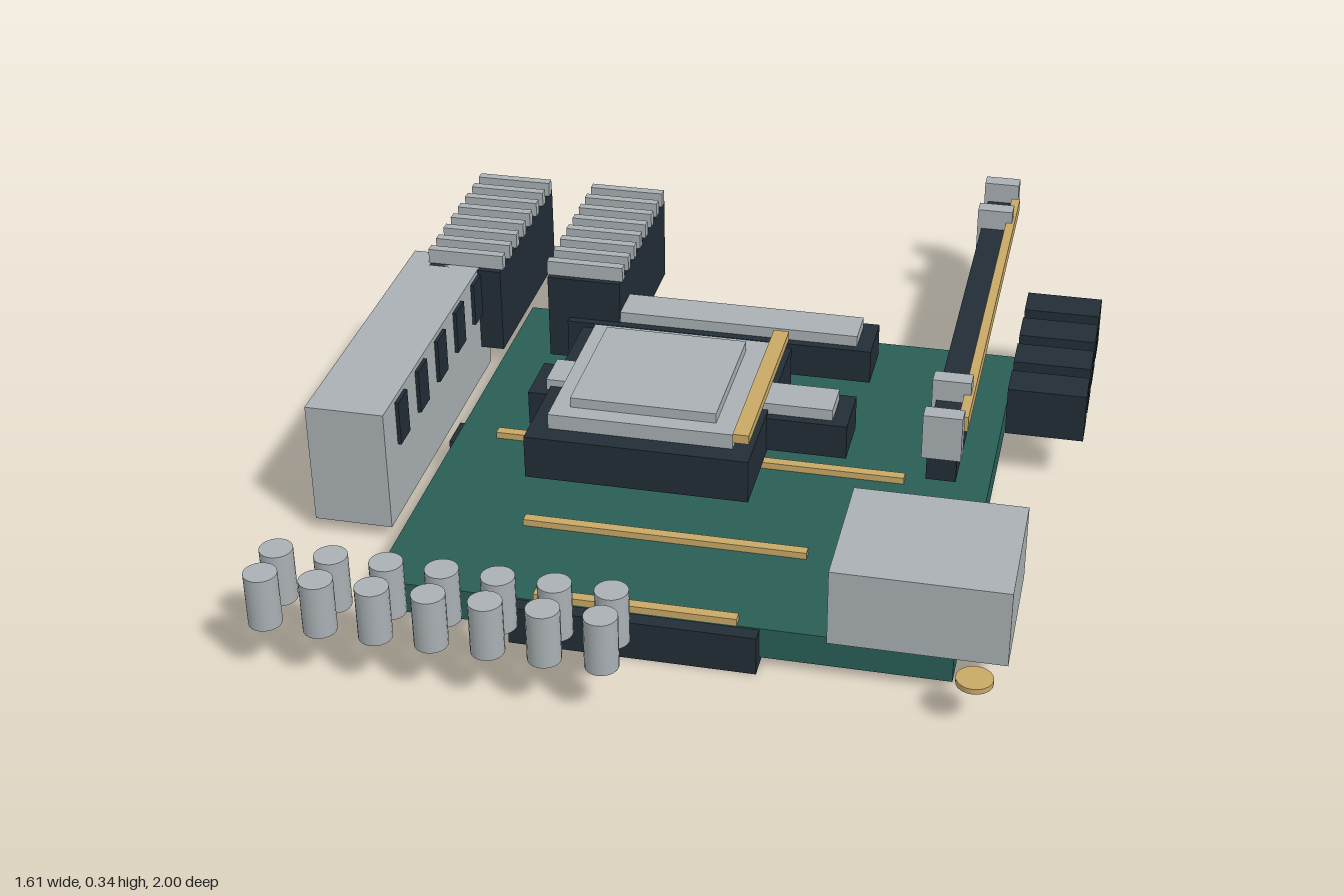
import * as THREE from 'three';

const paint = (name, color) => {
  const m = new THREE.MeshStandardMaterial({ color });
  m.name = name;
  return m;
};

export function createModel() {
  const green = paint('boardGreen', 0x2a5e56);
  const dark = paint('darkPlastic', 0x222d36);
  const silver = paint('silverMetal', 0xa9b0b3);
  const gold = paint('goldContact', 0xc8a866);

  const model = new THREE.Group();
  model.name = 'circuitBoard';

  // Box given by its lower and upper limits on each axis
  const box = (name, mat, x0, x1, y0, y1, z0, z1) => {
    const mesh = new THREE.Mesh(new THREE.BoxGeometry(x1 - x0, y1 - y0, z1 - z0), mat);
    mesh.position.set((x0 + x1) / 2, (y0 + y1) / 2, (z0 + z1) / 2);
    mesh.name = name;
    model.add(mesh);
  };
  // Upright cylinder
  const post = (name, mat, x, z, r, y0, y1) => {
    const mesh = new THREE.Mesh(new THREE.CylinderGeometry(r, r, y1 - y0, 20), mat);
    mesh.position.set(x, (y0 + y1) / 2, z);
    mesh.name = name;
    model.add(mesh);
  };

  box('board', green, -0.57, 0.62, 0.02, 0.09, -0.435, 0.75);

  // Expansion slots sunk through the board, each with a contact strip on top
  for (const [z, half] of [[0.16, 0.56], [0.485, 0.37], [0.74, 0.255]]) {
    const c = -0.022, g = half * 0.82;
    box('expansionSlot', dark, c - half, c + half, 0, 0.087, z - 0.041, z + 0.041);
    box('slotContacts', gold, c - g, c + g, 0.088, 0.105, z - 0.012, z + 0.01);
  }

  // Processor socket with stepped lid and lever
  box('processorSocket', dark, -0.36, 0.13, 0.12, 0.22, -0.14, 0.355);
  box('processorPlate', silver, -0.318, 0.087, 0.22, 0.255, -0.097, 0.31);
  box('processorLid', silver, -0.278, 0.043, 0.255, 0.278, -0.05, 0.27);
  box('socketLever', gold, 0.093, 0.128, 0.255, 0.276, -0.118, 0.34);

  // Storage modules with metal covers
  for (const z of [-0.243, 0.09]) {
    box('storageModule', dark, -0.407, 0.307, 0.13, 0.21, z - 0.066, z + 0.066);
    box('storageCover', silver, -0.37, 0.272, 0.21, 0.236, z - 0.046, z + 0.046);
  }

  // Memory slot, contacts and latches
  box('memorySlot', dark, 0.485, 0.55, 0.117, 0.235, -0.975, 0.18);
  box('memoryContacts', gold, 0.545, 0.566, 0.22, 0.256, -0.945, 0.137);
  for (const z of [-0.981, -0.826, 0.024, 0.177]) {
    box('memoryLatch', silver, 0.475, 0.56, 0.18, 0.285, z - 0.02, z + 0.02);
  }

  // Finned heat sinks
  for (const x of [-0.658, -0.371]) {
    box('heatSinkBase', dark, x - 0.086, x + 0.086, 0.105, 0.31, -0.648, -0.195);
    for (let i = 0; i < 8; i++) {
      const z = -0.62 + i * 0.0572;
      box('heatSinkFin', silver, x - 0.09, x + 0.09, 0.31, 0.345, z - 0.011, z + 0.011);
    }
  }

  // Port panel with openings showing on both sides
  box('portPanel', silver, -0.8, -0.627, 0.03, 0.31, -0.26, 0.475);
  for (let i = 0; i < 5; i++) {
    const z = -0.17 + i * 0.135;
    box('port', dark, -0.808, -0.619, 0.195, 0.298, z - 0.03, z + 0.03);
  }

  box('cornerBlock', silver, 0.37, 0.727, 0.085, 0.255, 0.457, 0.763);

  // Side connectors
  for (let i = 0; i < 4; i++) {
    const z = -0.463 + i * 0.1245;
    box('sideConnector', dark, 0.632, 0.805, 0.115, 0.228, z - 0.043, z + 0.043);
  }

  // Two rows of capacitors
  for (let i = 0; i < 7; i++) {
    for (const z of [0.88, 0.965]) post('capacitor', silver, -0.714 + i * 0.1137, z, 0.034, 0.118, 0.235);
  }

  // Mounting discs
  for (const x of [-0.62, 0.67]) {
    for (const z of [-0.525, 0.84]) post('mountingDisc', gold, x, z, 0.037, 0.094, 0.106);
  }

  return model;
}
